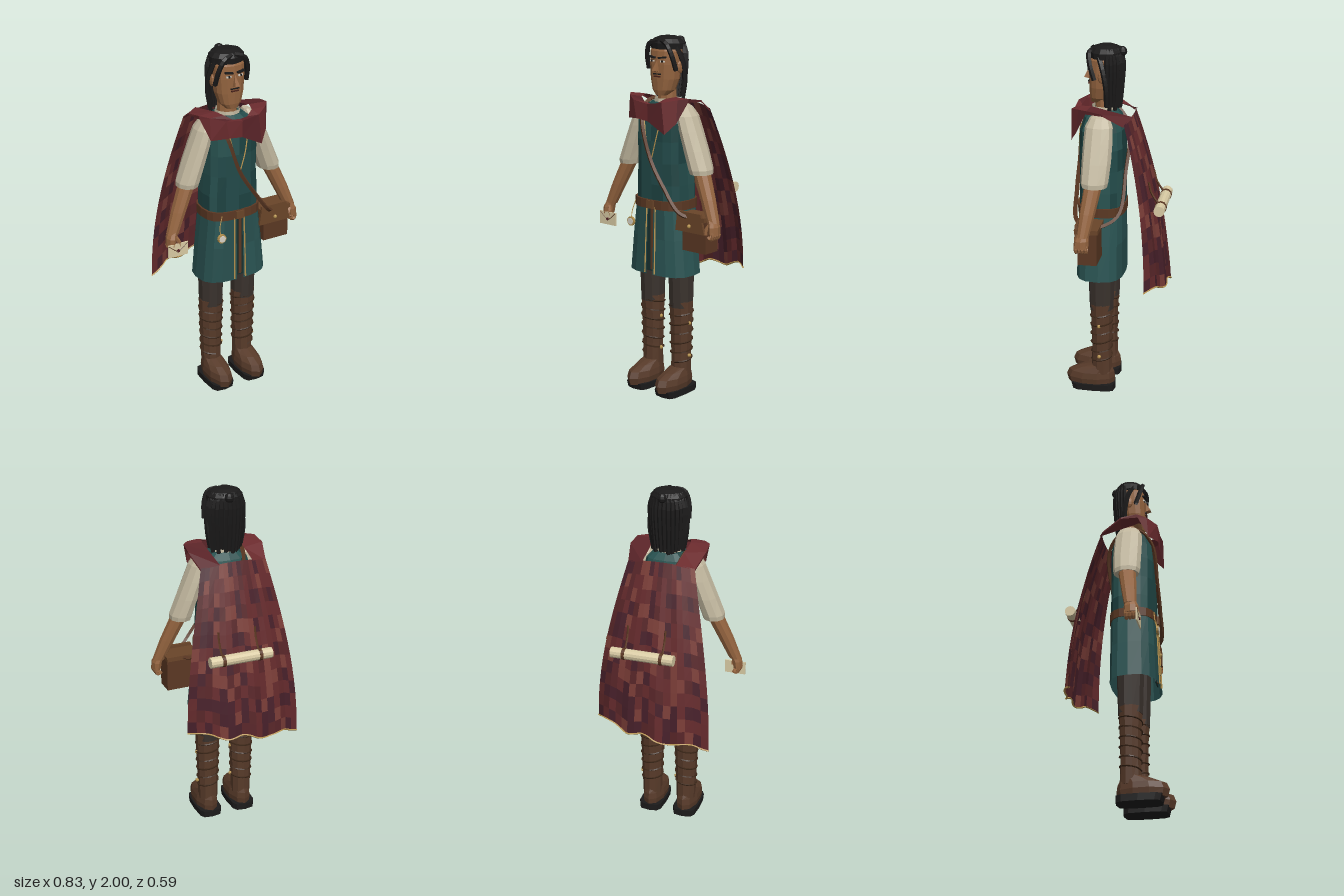
import * as THREE from 'three';

const C = {
  teal: [0x224a49, 0x1d4241, 0x285250], skirt: [0x2a5453, 0x274e4d], dark: 0x17302f,
  red: [0x642a2c, 0x572528, 0x47202a, 0x7a3d37, 0x642a2c], collar: [0x6b2b2e, 0x5a2428],
  cream: 0xc2b89f, skin: 0x94643f, hair: 0x1b1a1a, trousers: 0x3a322d, boot: 0x573a29,
  leather: 0x5b3823, flap: 0x6a4529, gold: 0xb4914e, paper: 0xd9cba4, sole: 0x1c1b1b, white: 0xd8d2c6,
};
let seed = 7;
const rnd = () => (seed = (seed * 16807) % 2147483647) / 2147483647;
const mat = (color) => new THREE.MeshStandardMaterial({ color, flatShading: true, side: THREE.DoubleSide });

function mesh(parent, name, geo, color, pos = [0, 0, 0], rot = [0, 0, 0]) {
  const m = new THREE.Mesh(geo, mat(color));
  m.name = name;
  m.position.set(...pos);
  m.rotation.set(...rot);
  parent.add(m);
  return m;
}

// Surface fn(i, j) -> [x, y, z] on an nu x nv grid; cells get seeded shades from a palette
function patch(parent, name, fn, nu, nv, colors) {
  const shades = [].concat(colors), buckets = shades.map(() => []);
  for (let j = 0; j < nv; j++) for (let i = 0; i < nu; i++) {
    const a = fn(i, j), b = fn(i + 1, j), c = fn(i + 1, j + 1), d = fn(i, j + 1);
    buckets[Math.floor(rnd() * shades.length)].push(...a, ...b, ...c, ...a, ...c, ...d);
  }
  const g = new THREE.Group();
  g.name = name;
  buckets.forEach((p, k) => {
    if (!p.length) return;
    const geo = new THREE.BufferGeometry();
    geo.setAttribute('position', new THREE.Float32BufferAttribute(p, 3));
    geo.computeVertexNormals();
    mesh(g, name, geo, shades[k]);
  });
  parent.add(g);
  return g;
}

// Stacked rings [y, cx, cz, rx, rz] from low to high; e > 2 gives boxier sections
function loft(parent, name, rings, colors, { n = 10, e = 2, cap = true, from = 0, to = Math.PI * 2 } = {}) {
  const end = (r) => [r[0], r[1], r[2], 0, 0];
  const rows = cap ? [end(rings[0]), ...rings, end(rings[rings.length - 1])] : rings;
  const pw = (v) => Math.sign(v) * Math.abs(v) ** (2 / e);
  return patch(parent, name, (i, j) => {
    const t = from + ((to - from) * i) / n, [y, cx, cz, rx, rz] = rows[j];
    return [cx + rx * pw(Math.sin(t)), y, cz + rz * pw(Math.cos(t))];
  }, n, rows.length - 1, colors);
}

function tube(parent, name, pts, r, color, { seg = 24, sides = 5, closed = false } = {}) {
  const path = new THREE.CatmullRomCurve3(pts.map((p) => new THREE.Vector3(...p)), closed);
  return mesh(parent, name, new THREE.TubeGeometry(path, seg, r, sides, closed), color);
}
const box = (...s) => new THREE.BoxGeometry(...s);
const ball = (r) => new THREE.SphereGeometry(r, 8, 6);

function addLeg(root, s) {
  const g = new THREE.Group(), x = s * 0.105;
  g.name = s > 0 ? 'leftLeg' : 'rightLeg';
  root.add(g);
  loft(g, 'trouserLeg', [[0.5, x, 0.08, 0.068, 0.068], [0.8, x, 0.08, 0.075, 0.078]], C.trousers);
  loft(g, 'bootShaft', [[0.1, x, 0.08, 0.056, 0.06], [0.25, x, 0.08, 0.06, 0.056], [0.42, x, 0.08, 0.067, 0.06], [0.535, x, 0.08, 0.071, 0.067]], C.boot);
  loft(g, 'bootFoot', [[0.03, x, 0.142, 0.062, 0.135], [0.07, x, 0.145, 0.069, 0.142], [0.105, x, 0.14, 0.064, 0.132], [0.13, x, 0.115, 0.056, 0.095], [0.15, x, 0.08, 0.05, 0.058]], C.boot);
  loft(g, 'sole', [[0, x, 0.125, 0.07, 0.125], [0.038, x, 0.13, 0.072, 0.13]], C.sole, { n: 12, e: 4 });
  // Lace wound around the shaft
  const lace = [];
  for (let i = 0; i <= 48; i++) {
    const k = i / 48, t = k * Math.PI * 12 * s;
    lace.push([x + (0.061 + 0.01 * k) * Math.sin(t), 0.18 + 0.33 * k, 0.08 + (0.059 + 0.005 * k) * Math.cos(t)]);
  }
  tube(g, 'bootLace', lace, 0.005, 0x3d2819, { seg: 96, sides: 4 });
  for (const y of [0.22, 0.41]) mesh(g, 'bootButton', ball(0.011), C.gold, [x + 0.064, y, 0.085]);
}

function addArm(root, s) {
  const g = new THREE.Group();
  g.name = s > 0 ? 'leftArm' : 'rightArm';
  root.add(g);
  loft(g, 'sleeve', [[1.275, s * 0.256, 0.09, 0.06, 0.07], [1.3, s * 0.252, 0.09, 0.064, 0.076], [1.4, s * 0.215, 0.085, 0.061, 0.08],
    [1.5, s * 0.178, 0.083, 0.056, 0.08], [1.58, s * 0.15, 0.082, 0.05, 0.076], [1.625, s * 0.128, 0.08, 0.036, 0.055], [1.645, s * 0.115, 0.08, 0.018, 0.03]], C.cream);
  loft(g, 'forearm', [[1.03, s * 0.372, 0.132, 0.035, 0.034], [1.15, s * 0.322, 0.115, 0.043, 0.043], [1.3, s * 0.255, 0.092, 0.048, 0.05]], C.skin);
  loft(g, 'palm', [[0.97, s * 0.388, 0.14, 0.025, 0.04], [1.01, s * 0.383, 0.138, 0.028, 0.04], [1.05, s * 0.368, 0.132, 0.025, 0.03]], C.skin, { n: 8 });
  for (let i = 0; i < 4; i++) {
    const z = 0.113 + i * 0.018;
    tube(g, 'finger', [[s * 0.393, 0.985, z], [s * 0.397, 0.955, z], [s * 0.38, 0.942, z], [s * 0.366, 0.955, z]], 0.01, C.skin, { seg: 6 });
  }
  tube(g, 'thumb', [[s * 0.368, 1.02, 0.155], [s * 0.352, 0.99, 0.168], [s * 0.35, 0.965, 0.168]], 0.011, C.skin, { seg: 5 });
}

function addHead(root) {
  const g = new THREE.Group();
  g.name = 'head';
  root.add(g);
  loft(g, 'neck', [[1.58, 0, 0.075, 0.06, 0.055], [1.74, 0, 0.075, 0.05, 0.048]], C.skin);
  loft(g, 'face', [[1.682, 0, 0.115, 0.034, 0.035], [1.71, 0, 0.1, 0.062, 0.056], [1.77, 0, 0.09, 0.08, 0.068], [1.85, 0, 0.085, 0.087, 0.074],
    [1.92, 0, 0.08, 0.087, 0.075], [1.97, 0, 0.07, 0.06, 0.06]], C.skin, { n: 14, e: 2.4 });
  const nose = mesh(g, 'nose', new THREE.ConeGeometry(0.02, 0.065, 4), C.skin, [0, 1.845, 0.165], [-0.25, Math.PI / 4, 0]);
  nose.rotation.order = 'XYZ';
  mesh(g, 'mouth', box(0.044, 0.007, 0.012), 0x4c241c, [0, 1.785, 0.157]);
  mesh(g, 'moustache', box(0.05, 0.006, 0.01), C.hair, [0, 1.798, 0.158]);
  for (const s of [-1, 1]) {
    mesh(g, 'eyebrow', box(0.046, 0.009, 0.016), C.hair, [s * 0.036, 1.888, 0.158], [0, s * 0.2, s * 0.12]);
    mesh(g, 'eye', box(0.028, 0.009, 0.008), C.white, [s * 0.036, 1.867, 0.156], [0, s * 0.2, 0]);
    mesh(g, 'pupil', box(0.01, 0.01, 0.01), C.hair, [s * 0.036, 1.867, 0.157]);
    mesh(g, 'ear', ball(0.03), C.skin, [s * 0.092, 1.835, 0.075]).scale.set(0.4, 1.15, 0.75);
    // Loose front lock beside the face
    tube(g, 'frontLock', [[s * 0.01, 1.975, 0.135], [s * 0.06, 1.96, 0.15], [s * 0.088, 1.9, 0.14], [s * 0.097, 1.82, 0.115]], 0.014, C.hair, { seg: 10 });
    tube(g, 'sideLock', [[s * 0.07, 1.96, 0.1], [s * 0.1, 1.88, 0.07], [s * 0.104, 1.77, 0.05], [s * 0.088, 1.675, 0.05]], 0.015, C.hair, { seg: 10 });
  }
  loft(g, 'hairCap', [[1.93, 0, 0.063, 0.099, 0.088], [1.962, 0, 0.066, 0.1, 0.089], [1.985, 0, 0.066, 0.08, 0.072], [1.997, 0, 0.065, 0.045, 0.04]], C.hair, { n: 14 });
  loft(g, 'backHair', [[1.68, 0, 0.06, 0.085, 0.07], [1.8, 0, 0.06, 0.096, 0.08], [1.94, 0, 0.062, 0.098, 0.086]], C.hair,
    { n: 12, cap: false, from: Math.PI * 0.52, to: Math.PI * 1.48 });
  for (let i = 0; i < 13; i++) {
    const t = Math.PI * (0.54 + 0.92 * (i / 12)), sx = Math.sin(t), sz = Math.cos(t);
    tube(g, 'hairStrand', [[sx * 0.07, 1.98, 0.06 + sz * 0.06], [sx * 0.1, 1.92, 0.06 + sz * 0.085], [sx * 0.098, 1.78, 0.06 + sz * 0.08],
      [sx * 0.085, 1.645 + rnd() * 0.03, 0.06 + sz * 0.066]], 0.012, C.hair, { seg: 8, sides: 4 });
  }
  mesh(g, 'bun', ball(0.027), C.hair, [0.008, 1.965, -0.022]);
}

function addCape(root) {
  const g = new THREE.Group();
  g.name = 'cape';
  root.add(g);
  const at = (u, v) => {
    const hem = 0.66 + 0.05 * u + 0.014 * Math.sin(9 * u + 1);
    const top = 1.63 - 0.025 * u * u;
    return [u * (0.19 + 0.14 * Math.sin((v * Math.PI) / 2)), top + (hem - top) * v,
      -0.09 - 0.34 * v + 0.14 * v * v + (0.03 + 0.06 * v) * u * u + 0.008 * v * Math.sin(u * 14)];
  };
  const nu = 16, nv = 13;
  patch(g, 'capeCloth', (i, j) => at(1 - (2 * i) / nu, 1 - j / nv), nu, nv, C.red);
  tube(g, 'capeHem', Array.from({ length: 17 }, (_, i) => at(i / 8 - 1, 1)), 0.005, C.gold, { seg: 48, sides: 4 });
  // Collar stations: inner edge, outer edge, hanging edge
  const st = [
    [0.095, 1.625, -0.1, 0.19, 1.6, -0.06, 0.19, 1.59, -0.06],
    [0.1, 1.655, 0.03, 0.218, 1.665, 0.05, 0.218, 1.655, 0.05],
    [0.105, 1.68, 0.13, 0.21, 1.68, 0.14, 0.205, 1.66, 0.145],
    [0.085, 1.675, 0.19, 0.17, 1.675, 0.19, 0.17, 1.55, 0.2],
    [0.045, 1.65, 0.21, 0.1, 1.66, 0.24, 0.12, 1.49, 0.24],
    [0, 1.645, 0.212, 0, 1.645, 0.24, 0, 1.55, 0.236],
  ];
  const ring = [...st, ...st.slice(0, 5).reverse().map((r) => r.map((v, k) => (k % 3 ? v : -v)))];
  // The hanging corner is shorter on the right
  ring[6][6] = -0.08; ring[6][7] = 1.56;
  patch(g, 'collar', (i, j) => ring[i].slice(j * 3, j * 3 + 3), 10, 2, C.collar);
  // Rolled scroll carried on the back
  const turn = [0, 0, Math.PI / 2];
  mesh(g, 'scroll', new THREE.CylinderGeometry(0.03, 0.03, 0.36, 12), C.paper, [0.04, 1.14, -0.257], turn);
  for (const x of [-0.07, 0.145]) {
    mesh(g, 'scrollStrap', new THREE.CylinderGeometry(0.033, 0.033, 0.018, 12), C.leather, [x, 1.14, -0.257], turn);
    tube(g, 'scrollTie', [[x, 1.165, -0.24], [x, 1.22, -0.205], [x, 1.28, -0.19]], 0.006, C.leather, { seg: 6, sides: 4 });
  }
}

function addTunic(root) {
  const g = new THREE.Group();
  g.name = 'tunic';
  root.add(g);
  loft(g, 'bodice', [[1.08, 0, 0.085, 0.16, 0.125], [1.2, 0, 0.085, 0.158, 0.125], [1.32, 0, 0.085, 0.15, 0.125], [1.44, 0, 0.085, 0.152, 0.126],
    [1.54, 0, 0.085, 0.15, 0.122], [1.61, 0, 0.083, 0.125, 0.1], [1.645, 0, 0.08, 0.08, 0.068]], C.teal, { n: 16, e: 2.8 });
  loft(g, 'shirtCollar', [[1.62, 0, 0.08, 0.075, 0.07], [1.665, 0, 0.08, 0.068, 0.066]], C.cream, { cap: false });
  const gap = 0.045;
  loft(g, 'skirt', [[0.695, 0, 0.093, 0.205, 0.136], [0.9, 0, 0.09, 0.185, 0.132], [1.1, 0, 0.086, 0.162, 0.127]], C.skirt,
    { n: 16, e: 2.8, cap: false, from: gap, to: Math.PI * 2 - gap });
  mesh(g, 'slitPanel', box(0.085, 0.38, 0.006), C.dark, [0, 0.9, 0.207]);
  mesh(g, 'beltTail', box(0.016, 0.36, 0.006), C.leather, [0.006, 0.9, 0.213]);
  for (const s of [-1, 1]) {
    tube(g, 'skirtTrim', [[s * 0.035, 0.7, 0.228], [s * 0.03, 1.08, 0.213]], 0.005, C.gold, { seg: 2, sides: 4 });
    tube(g, 'necklineTrim', [[s * 0.06, 1.57, 0.198], [s * 0.035, 1.45, 0.212], [0, 1.33, 0.212]], 0.004, C.gold, { seg: 8, sides: 4 });
  }
  loft(g, 'belt', [[1.065, 0, 0.086, 0.17, 0.133], [1.115, 0, 0.086, 0.17, 0.133]], C.leather, { n: 20, e: 2.8 });
  mesh(g, 'buckle', box(0.05, 0.045, 0.01), C.flap, [0, 1.09, 0.222]);
  // Pendant hung from the belt
  tube(g, 'pendantCord', [[-0.11, 1.1, 0.215], [-0.13, 1.03, 0.225], [-0.125, 0.985, 0.236]], 0.003, C.gold, { seg: 6, sides: 4 });
  mesh(g, 'pendant', new THREE.CylinderGeometry(0.026, 0.026, 0.013, 12), C.gold, [-0.125, 0.98, 0.238], [Math.PI / 2, 0, 0]);
  mesh(g, 'pendantDial', new THREE.CylinderGeometry(0.019, 0.019, 0.005, 12), C.white, [-0.125, 0.98, 0.246], [Math.PI / 2, 0, 0]);
}

function addSatchel(root) {
  const g = new THREE.Group();
  g.name = 'satchel';
  root.add(g);
  mesh(g, 'bagBody', box(0.16, 0.18, 0.105), C.leather, [0.268, 0.945, 0.115]);
  mesh(g, 'bagLid', box(0.19, 0.025, 0.13), C.flap, [0.255, 1.045, 0.12]);
  const flap = new THREE.Shape([[-0.085, 0.08], [0.075, 0.08], [0.1, -0.03], [-0.1, -0.03]].map((p) => new THREE.Vector2(...p)));
  mesh(g, 'bagFlap', new THREE.ExtrudeGeometry(flap, { depth: 0.015, bevelEnabled: false }), C.flap, [0.25, 0.995, 0.17]);
  mesh(g, 'bagClasp', ball(0.011), C.gold, [0.25, 1.0, 0.188]);
  tube(g, 'shoulderStrap', [[-0.1, 1.62, 0.15], [-0.07, 1.54, 0.205], [0, 1.34, 0.217], [0.09, 1.2, 0.217], [0.2, 1.06, 0.2], [0.27, 1.04, 0.11],
    [0.18, 1.08, -0.02], [0.05, 1.3, -0.048], [-0.06, 1.55, -0.045], [-0.1, 1.65, 0.06]], 0.012, C.leather, { seg: 64, sides: 4, closed: true });
}

function addLetter(root) {
  const g = new THREE.Group();
  g.name = 'letter';
  g.position.set(-0.362, 0.947, 0.174);
  root.add(g);
  mesh(g, 'envelope', box(0.12, 0.074, 0.008), C.paper);
  tube(g, 'envelopeFold', [[-0.058, 0.034, 0.004], [0, -0.006, 0.004], [0.058, 0.034, 0.004]], 0.002, C.leather, { seg: 12, sides: 4 });
  mesh(g, 'seal', new THREE.CylinderGeometry(0.009, 0.009, 0.006, 8), C.red[1], [0, -0.004, 0.006], [Math.PI / 2, 0, 0]);
}

export function createModel() {
  const root = new THREE.Group();
  root.name = 'travellingMessenger';
  for (const s of [-1, 1]) {
    addLeg(root, s);
    addArm(root, s);
  }
  [addTunic, addHead, addCape, addSatchel, addLetter].forEach((add) => add(root));
  return root;
}
